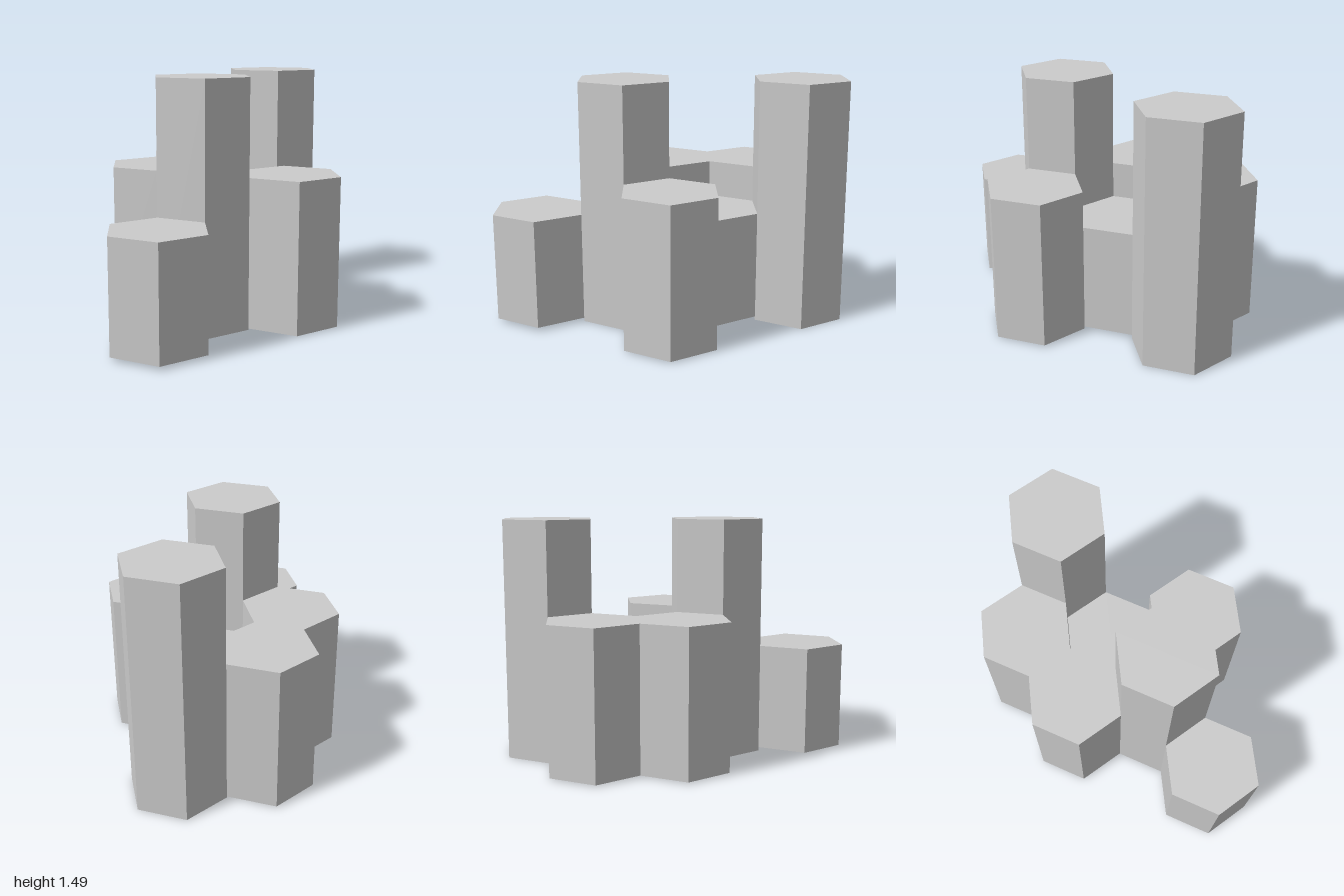
import * as THREE from 'three';

const RADIUS = 0.3075;                       // corner radius of each hexagon
const COLUMN_STEP = RADIUS * 1.5;            // spacing between columns along x
const ROW_STEP = RADIUS * Math.sqrt(3);      // spacing between rows along z

// Bottom and top of the three kinds of pillar
const LEVELS = {
  tall: [0, 1.492],
  middle: [0.008, 0.914],
  low: [0.022, 0.689],
};

// Places on the hexagonal grid: kind, column (from x = 0.2305), row (from z = 0)
const PILLARS = [
  ['low', 0, 0],
  ['middle', 0, 1],
  ['middle', 0, -1],
  ['tall', 1, -0.5],
  ['tall', -1, 0.5],
  ['middle', -1, -0.5],
  ['low', -2, 1],
];

export function createModel() {
  const group = new THREE.Group();
  group.name = 'hexagonalPillars';
  const material = new THREE.MeshStandardMaterial({ color: 0xcccccc, flatShading: true });

  // One six-sided prism per grid place, with corners pointing along x
  PILLARS.forEach(([kind, column, row], i) => {
    const [bottom, top] = LEVELS[kind];
    const geometry = new THREE.CylinderGeometry(RADIUS, RADIUS, top - bottom, 6);
    geometry.rotateY(Math.PI / 6);
    const pillar = new THREE.Mesh(geometry, material);
    pillar.name = `${kind}Pillar${i + 1}`;
    pillar.position.set(COLUMN_STEP * (column + 0.5), (bottom + top) / 2, ROW_STEP * row);
    group.add(pillar);
  });
  return group;
}
